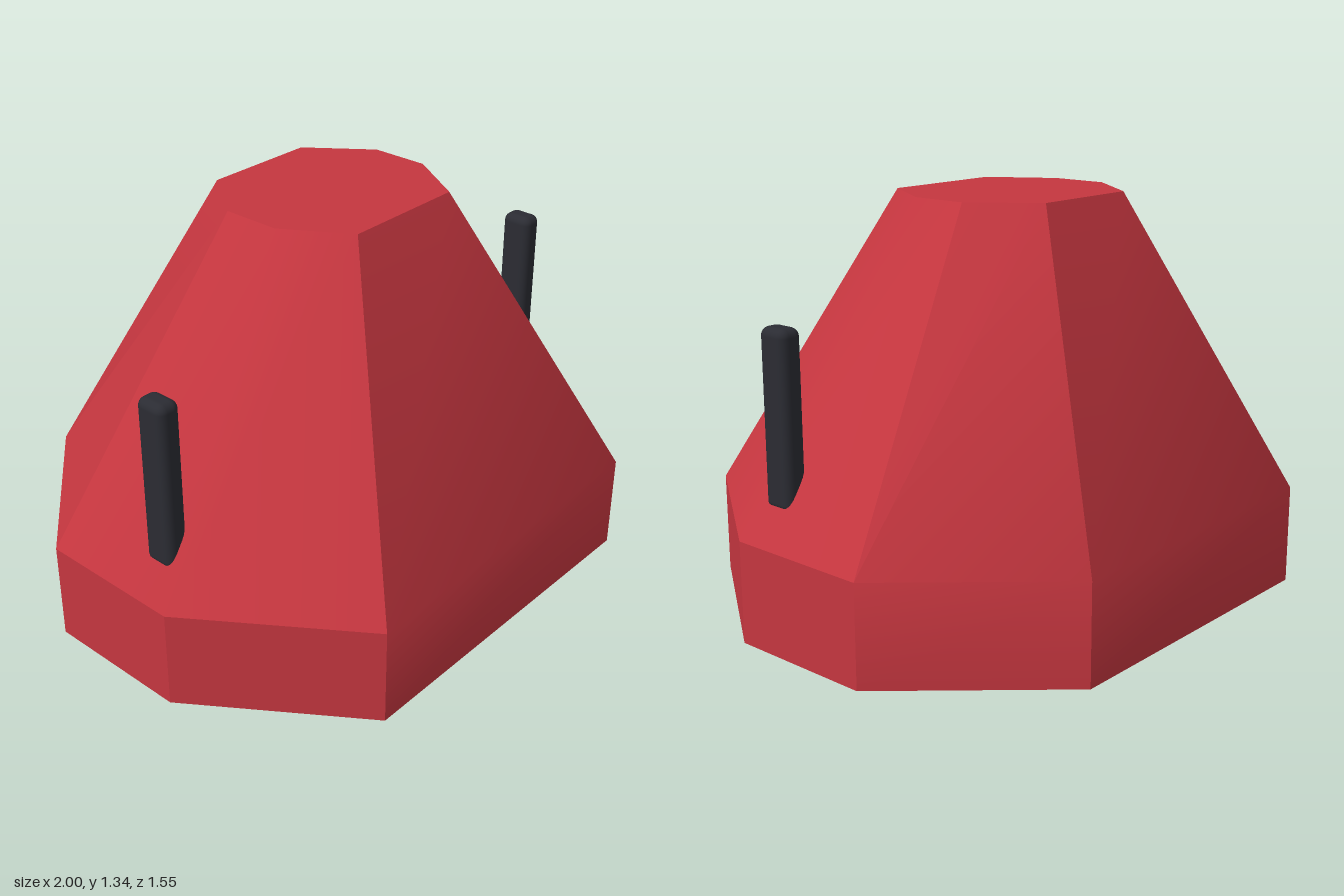
import * as THREE from 'three';
import { toCreasedNormals } from 'three/addons/utils/BufferGeometryUtils.js';
import { RoundedBoxGeometry } from 'three/addons/geometries/RoundedBoxGeometry.js';

// Half outlines [x, z] from front to back; mirrored into full octagons
const BASE = [[0.62, 0.775], [1, 0.23], [1, -0.275], [0.55, -0.78]];
const CROWN = [[0.22, 0.303], [0.353, 0.09], [0.353, -0.108], [0.198, -0.313]];

function ring(half, y) {
  const right = half.map(([x, z]) => [x, y, z]);
  const left = half.map(([x, z]) => [-x, y, z]).reverse();
  return [...right, ...left];
}

// Skin a stack of rings and close both ends
function loft(rings) {
  const n = rings[0].length;
  const index = [];
  for (let r = 0; r < rings.length - 1; r++) {
    for (let i = 0; i < n; i++) {
      const a = r * n + i, b = r * n + (i + 1) % n;
      index.push(a, b, b + n, a, b + n, a + n);
    }
  }
  const top = (rings.length - 1) * n;
  for (let i = 1; i < n - 1; i++) {
    index.push(0, i + 1, i);
    index.push(top, top + i, top + i + 1);
  }
  const geometry = new THREE.BufferGeometry();
  geometry.setAttribute('position', new THREE.Float32BufferAttribute(rings.flat(2), 3));
  geometry.setIndex(index);
  return toCreasedNormals(geometry, THREE.MathUtils.degToRad(30));
}

export function createModel() {
  const model = new THREE.Group();
  const red = new THREE.MeshStandardMaterial({ name: 'red', color: 0xc5363f });
  const black = new THREE.MeshStandardMaterial({ name: 'black', color: 0x2b2c33 });

  // Straight plinth and tapered upper shell
  const body = new THREE.Mesh(loft([ring(BASE, 0), ring(BASE, 0.335), ring(CROWN, 1.335)]), red);
  body.name = 'body';
  model.add(body);

  // Upright rods half sunk into the side slopes
  const rodGeometry = new RoundedBoxGeometry(0.08, 0.57, 0.112, 3, 0.028);
  for (const side of [1, -1]) {
    const rod = new THREE.Mesh(rodGeometry, black);
    rod.name = side > 0 ? 'leftRod' : 'rightRod';
    rod.position.set(side * 0.888, 0.716, 0.134);
    model.add(rod);
  }
  return model;
}
